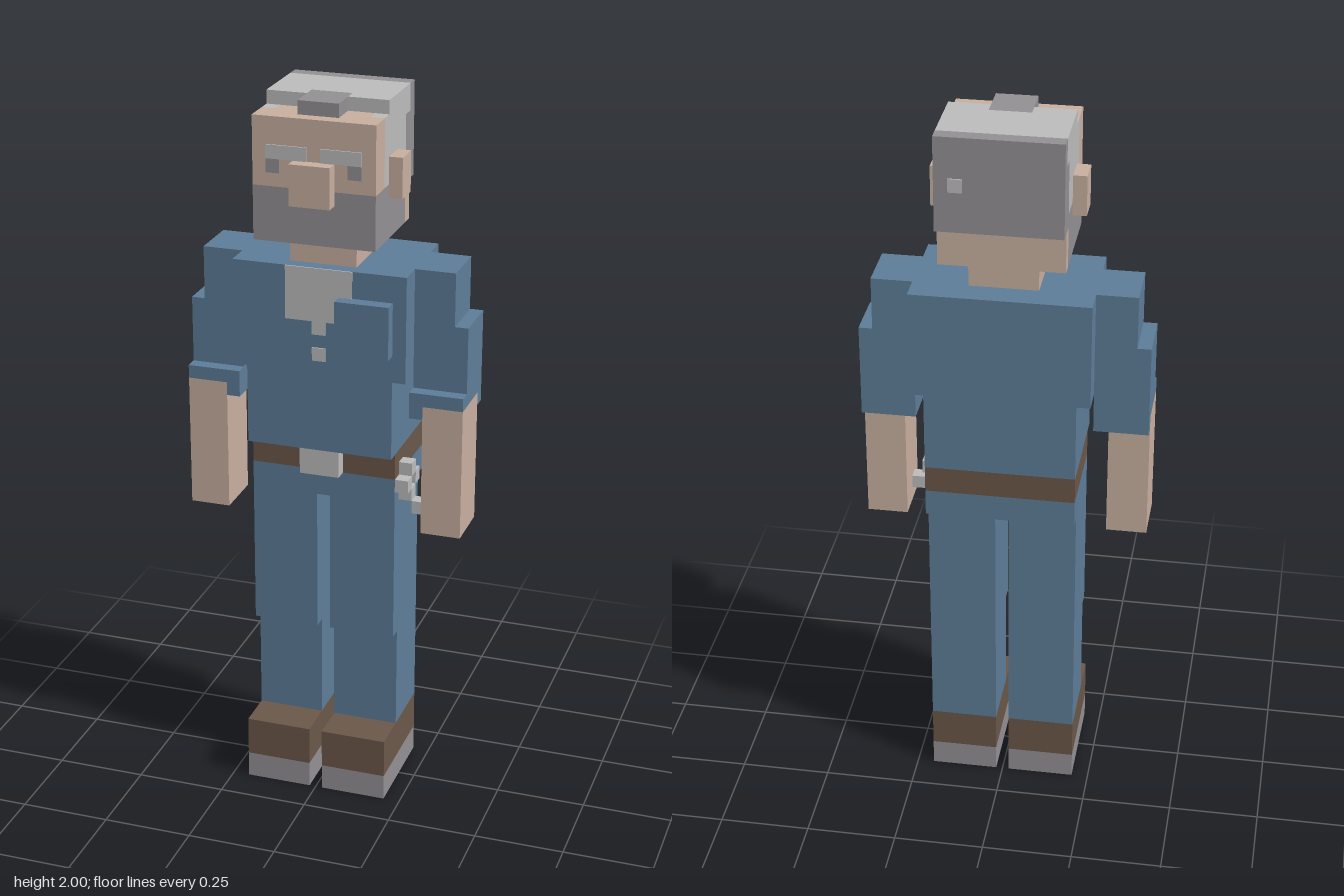
import * as THREE from 'three';

const U = 2 / 54; // one block of the grid; the figure is 54 blocks tall

const mat = (name, color) => {
  const m = new THREE.MeshStandardMaterial({ color });
  m.name = name;
  return m;
};

export function createModel() {
  const denim = mat('denim blue', 0x5d7d98);
  const skin = mat('skin', 0xc8af9f);
  const light = mat('light grey', 0xbcbcbc);
  const dark = mat('dark grey', 0x939093);
  const brown = mat('leather brown', 0x6b5749);
  const model = new THREE.Group();
  model.name = 'blockMan';

  // box between two corners, measured in blocks
  const box = (name, m, x0, x1, y0, y1, z0, z1) => {
    const g = new THREE.BoxGeometry((x1 - x0) * U, (y1 - y0) * U, (z1 - z0) * U);
    const mesh = new THREE.Mesh(g, m);
    mesh.position.set((x0 + x1) * U / 2, (y0 + y1) * U / 2, (z0 + z1) * U / 2);
    mesh.name = name;
    model.add(mesh);
  };
  // centred on x = 0
  const mid = (name, m, half, ...r) => box(name, m, -half, half, ...r);
  // mirrored on both sides
  const pair = (name, m, x0, x1, ...r) => {
    box('left' + name, m, x0, x1, ...r);
    box('right' + name, m, -x1, -x0, ...r);
  };
  const T = 0.1; // thickness of painted plates

  // shoes and legs
  pair('Sole', dark, 0.5, 5.5, 0, 2, -4, 4);
  pair('Shoe', brown, 0.5, 5.5, 2, 5, -4, 4);
  pair('Shin', denim, 0.5, 5.5, 5, 13, -4, 1);
  pair('Thigh', denim, 0.5, 5.5, 13, 24, -4, 2);

  // hips, belt and buckle
  mid('hips', denim, 5.5, 24, 26, -5, 2);
  mid('belt', brown, 5.5, 26, 28, -5, 2);
  mid('buckle', light, 1.5, 26, 28, 2, 3);

  // ring of keys on the left hip
  box('keyRingTop', light, 5.5, 6.5, 26, 27, 0, 1);
  box('keyRingFront', light, 5.5, 6.5, 25, 26, 1, 2);
  box('keyRingBack', light, 5.5, 6.5, 25, 26, -1, 0);
  box('keyRingBottom', light, 5.5, 6.5, 24, 25, 0, 1);
  box('key', light, 6.5, 7.5, 23, 24, 0, 1);

  // shirt
  mid('waist', denim, 5.5, 28, 34, -5, 3);
  mid('chest', denim, 6.5, 34, 42, -5, 3);
  mid('undershirt', light, 2.5, 38, 42, 3, 3 + T);
  mid('collarTip', light, 0.5, 37, 38, 3, 3 + T);
  mid('button', light, 0.5, 35, 36, 3, 3 + T);
  box('pocket', denim, 1.5, 5.5, 36, 40, 3, 4);

  // arms
  pair('Shoulder', denim, 6.5, 9.5, 38, 42, -3, 1);
  pair('Sleeve', denim, 6.5, 10.5, 33, 38, -3, 1);
  pair('Cuff', denim, 6.5, 10.5, 32, 33, -3, 2);
  pair('CuffInside', denim, 6.5, 7.5, 31, 32, -3, 2);
  pair('CuffBack', denim, 7.5, 10.5, 31, 32, -3, -2);
  pair('Forearm', skin, 7.5, 10.5, 22, 32, -2, 2);

  // neck and head
  mid('neck', skin, 2.5, 42, 44, -3, 2);
  mid('nape', skin, 4.5, 44, 47, -4, -3);
  mid('beard', dark, 4.5, 44, 48, -3, 4);
  mid('face', skin, 4.5, 48, 53, 2, 4);
  mid('skull', skin, 3.5, 48, 53, -3, 2);
  mid('nose', skin, 1.5, 47, 50, 4, 5);
  pair('Ear', skin, 4.5, 5.5, 47, 50, -1, 1);
  pair('Brow', light, 0.5, 3.5, 50, 51, 4, 4 + T);
  pair('Eye', dark, 2.5, 3.5, 49, 50, 4, 4 + T);

  // hair
  pair('Temple', light, 3.5, 4.5, 48, 53, -3, 2);
  mid('crown', light, 4.5, 53, 54, -4, 0);
  mid('crownBack', light, 4.5, 52, 53, -4, -3);
  pair('CrownFront', light, 1.5, 4.5, 53, 54, 0, 1);
  mid('forelock', dark, 1.5, 53, 54, 0, 3);
  mid('backHair', dark, 4.5, 47, 52, -5, -3);
  mid('backHairTop', dark, 4.5, 52, 54, -5, -4);
  box('greySpot', light, 2.5, 3.5, 50, 51, -5 - T, -5);

  return model;
}
